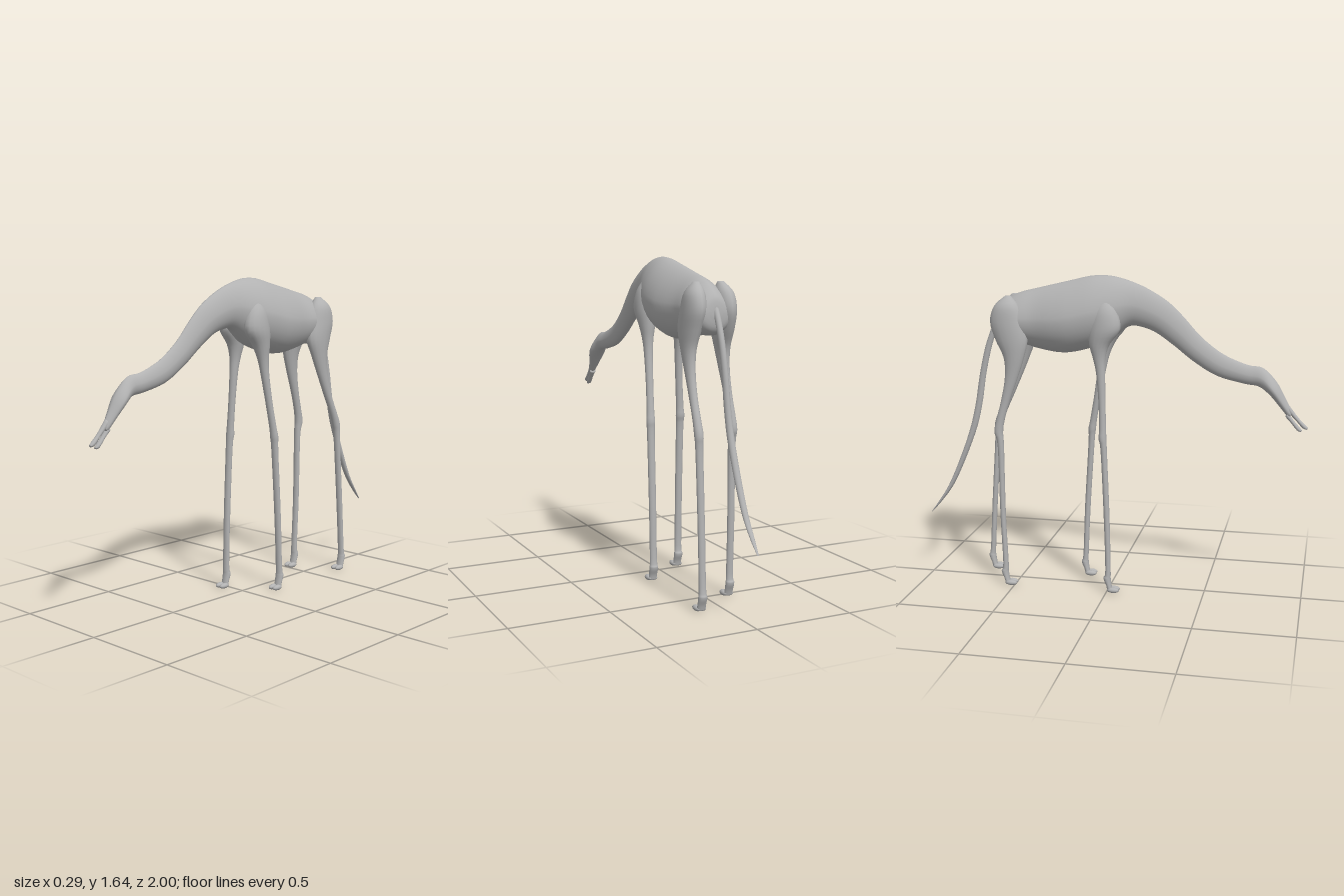
import * as THREE from 'three';

const hide = new THREE.MeshStandardMaterial({ color: 0xb2b2b2 });
hide.name = 'grey hide';

// Catmull-Rom interpolation through rows of numbers
function smoothRows(rows, steps) {
  const out = [];
  const n = rows.length - 1;
  for (let i = 0; i < n; i++) {
    const [p, a, b, q] = [rows[Math.max(i - 1, 0)], rows[i], rows[i + 1], rows[Math.min(i + 2, n)]];
    for (let s = 0; s < steps; s++) {
      const t = s / steps;
      out.push(a.map((v, k) => v + 0.5 * t * (b[k] - p[k]
        + t * (2 * p[k] - 5 * v + 4 * b[k] - q[k] + t * (3 * (v - b[k]) + q[k] - p[k])))));
    }
  }
  out.push(rows[n]);
  return out;
}

// Skin over cross-sections. Row: [zA, yA, zB, yB, centre x, half width],
// where A and B are the opposite edges of the section seen from the side.
// ridge < 2 pinches the A edge; widest is where the section is broadest, from A to B.
function loft(name, rows, { sides = 20, steps = 4, ridge = 2, widest = 0.5 } = {}) {
  const rings = smoothRows(rows, steps);
  const pos = [], index = [];
  for (const [zA, yA, zB, yB, cx, w] of rings) {
    for (let j = 0; j < sides; j++) {
      const a = (j / sides) * Math.PI * 2;
      const c = Math.cos(a), s = Math.sin(a);
      const e = c > 0 ? 2 / ridge : 1;
      const x = Math.sign(s) * Math.abs(s) ** e * w;
      const f = c > 0 ? widest * (1 - c ** e) : widest - c * (1 - widest);
      pos.push(cx + x, yA + (yB - yA) * f, zA + (zB - zA) * f);
    }
  }
  for (let i = 0; i < rings.length - 1; i++) {
    for (let j = 0; j < sides; j++) {
      const k = (j + 1) % sides;
      const a = i * sides + j, b = i * sides + k;
      index.push(a, a + sides, b, b, a + sides, b + sides);
    }
  }
  // end caps
  const addCap = (r, flip) => {
    const [zA, yA, zB, yB, cx] = rings[r];
    const mid = pos.length / 3;
    pos.push(cx, (yA + yB) / 2, (zA + zB) / 2);
    for (let j = 0; j < sides; j++) {
      const a = r * sides + j, b = r * sides + (j + 1) % sides;
      index.push(mid, flip ? b : a, flip ? a : b);
    }
  };
  addCap(0, false);
  addCap(rings.length - 1, true);
  const geo = new THREE.BufferGeometry();
  geo.setAttribute('position', new THREE.Float32BufferAttribute(pos, 3));
  geo.setIndex(index);
  geo.computeVertexNormals();
  const mesh = new THREE.Mesh(geo, hide);
  mesh.name = name;
  return mesh;
}

// Limb rows [y, half depth, centre x, half width] plus a list of centre z values
function leg(name, side, rows, zs) {
  const group = new THREE.Group();
  group.name = name;
  group.add(loft('limb', rows.map(([y, d, x, w], i) =>
    [zs[i] + d, y, zs[i] - d, y, side * x, w]), { sides: 16 }));
  // two toes pointing forward
  const footZ = zs[zs.length - 1];
  for (const dx of [-0.014, 0.014]) {
    const toe = new THREE.Mesh(new THREE.SphereGeometry(1, 14, 10), hide);
    toe.name = 'toe';
    toe.scale.set(0.016, 0.014, 0.032);
    toe.position.set(side * 0.113 + dx, 0.014, footZ + 0.018);
    group.add(toe);
  }
  return group;
}

export function createModel() {
  const model = new THREE.Group();
  model.name = 'long necked animal';

  // trunk, rump to chest, running on into neck and head
  const spine = [
    [-0.603, 1.42, -0.606, 1.37, 0.025],
    [-0.59, 1.465, -0.595, 1.31, 0.075],
    [-0.54, 1.512, -0.55, 1.28, 0.105],
    [-0.47, 1.545, -0.46, 1.28, 0.115],
    [-0.38, 1.568, -0.38, 1.26, 0.117],
    [-0.28, 1.592, -0.28, 1.243, 0.135],
    [-0.2, 1.611, -0.2, 1.245, 0.143],
    [-0.1, 1.634, -0.1, 1.27, 0.136],
    [-0.02, 1.637, -0.02, 1.3, 0.118],
    [0.04, 1.628, 0.04, 1.345, 0.095],
    [0.11, 1.607, 0.085, 1.38, 0.07],
    [0.19, 1.573, 0.13, 1.388, 0.056],
    [0.29, 1.512, 0.22, 1.362, 0.046],
    [0.37, 1.437, 0.32, 1.295, 0.038],
    [0.46, 1.34, 0.42, 1.218, 0.033],
    [0.57, 1.258, 0.54, 1.148, 0.03],
    [0.69, 1.209, 0.68, 1.113, 0.029],
    [0.77, 1.195, 0.75, 1.102, 0.033],
    [0.84, 1.125, 0.805, 1.062, 0.047],
    [0.885, 1.045, 0.855, 1.005, 0.031],
    [0.912, 0.995, 0.893, 0.96, 0.019],
    [0.92, 0.978, 0.908, 0.955, 0.012],
  ].map(([zA, yA, zB, yB, w]) => [zA, yA, zB, yB, 0, w]);
  model.add(loft('body neck and head', spine, { sides: 32, ridge: 1.6, widest: 0.54 }));

  // open beak
  model.add(loft('upper beak', [
    [0.905, 1.01, 0.89, 0.985, 0, 0.016],
    [0.95, 0.952, 0.937, 0.938, 0, 0.012],
    [0.985, 0.917, 0.972, 0.9, 0, 0.013],
    [1, 0.902, 0.992, 0.892, 0, 0.008]], { sides: 12 }));
  model.add(loft('lower beak', [
    [0.9, 0.975, 0.885, 0.955, 0, 0.018],
    [0.927, 0.938, 0.913, 0.925, 0, 0.013],
    [0.957, 0.904, 0.945, 0.887, 0, 0.014],
    [0.97, 0.888, 0.963, 0.88, 0, 0.008]], { sides: 12 }));

  // tail rows: centre z, centre y, half thickness, half width
  model.add(loft('tail', [
    [-0.57, 1.45, 0.02, 0.014], [-0.61, 1.37, 0.021, 0.015], [-0.65, 1.26, 0.021, 0.015],
    [-0.685, 1.11, 0.02, 0.015], [-0.71, 0.96, 0.021, 0.016], [-0.745, 0.82, 0.022, 0.017],
    [-0.81, 0.65, 0.02, 0.017], [-0.88, 0.5, 0.018, 0.015], [-0.945, 0.405, 0.013, 0.011],
    [-0.997, 0.34, 0.003, 0.004],
  ].map(([z, y, r, w]) => [z + r * 0.93, y + r * 0.37, z - r * 0.93, y - r * 0.37, 0, w]), { sides: 14 }));

  // front legs with shoulders
  const front = [
    [1.54, 0.015, 0.07, 0.015], [1.47, 0.06, 0.082, 0.045], [1.38, 0.08, 0.088, 0.052],
    [1.3, 0.052, 0.09, 0.04], [1.23, 0.032, 0.092, 0.028], [1.15, 0.023, 0.094, 0.022],
    [1, 0.018, 0.1, 0.019], [0.87, 0.018, 0.107, 0.02], [0.82, 0.02, 0.109, 0.023],
    [0.75, 0.016, 0.11, 0.02], [0.4, 0.015, 0.112, 0.019], [0.12, 0.014, 0.113, 0.019],
    [0.075, 0.019, 0.113, 0.023], [0.035, 0.014, 0.113, 0.022], [0.006, 0.014, 0.113, 0.022],
  ];
  const shoulderZ = [-0.02, -0.015, -0.015, -0.042];
  model.add(leg('right front leg', -1, front, [...shoulderZ, -0.042, -0.034, -0.026, -0.022,
    -0.022, -0.015, 0, 0.007, 0.002, 0.012, 0.018]));
  model.add(leg('left front leg', 1, front, [...shoulderZ, -0.056, -0.068, -0.094, -0.117,
    -0.125, -0.129, -0.151, -0.163, -0.168, -0.158, -0.152]));

  // hind legs with thighs
  const hind = [
    [1.53, 0.015, 0.065, 0.015], [1.48, 0.065, 0.076, 0.044], [1.4, 0.092, 0.08, 0.052],
    [1.31, 0.085, 0.087, 0.046], [1.22, 0.054, 0.094, 0.034], [1.12, 0.035, 0.098, 0.025],
    [1, 0.024, 0.102, 0.02], [0.9, 0.022, 0.106, 0.02], [0.83, 0.023, 0.108, 0.022],
    [0.75, 0.016, 0.109, 0.019], [0.4, 0.014, 0.111, 0.018], [0.12, 0.014, 0.113, 0.018],
    [0.075, 0.019, 0.113, 0.022], [0.035, 0.014, 0.113, 0.022], [0.006, 0.014, 0.113, 0.022],
  ];
  const thighZ = [-0.52, -0.525, -0.521, -0.5];
  model.add(leg('right hind leg', -1, hind, [...thighZ, -0.487, -0.5, -0.532, -0.56,
    -0.572, -0.562, -0.558, -0.548, -0.553, -0.543, -0.535]));
  model.add(leg('left hind leg', 1, hind, [...thighZ, -0.502, -0.525, -0.568, -0.612,
    -0.637, -0.645, -0.672, -0.69, -0.695, -0.685, -0.677]));

  return model;
}
